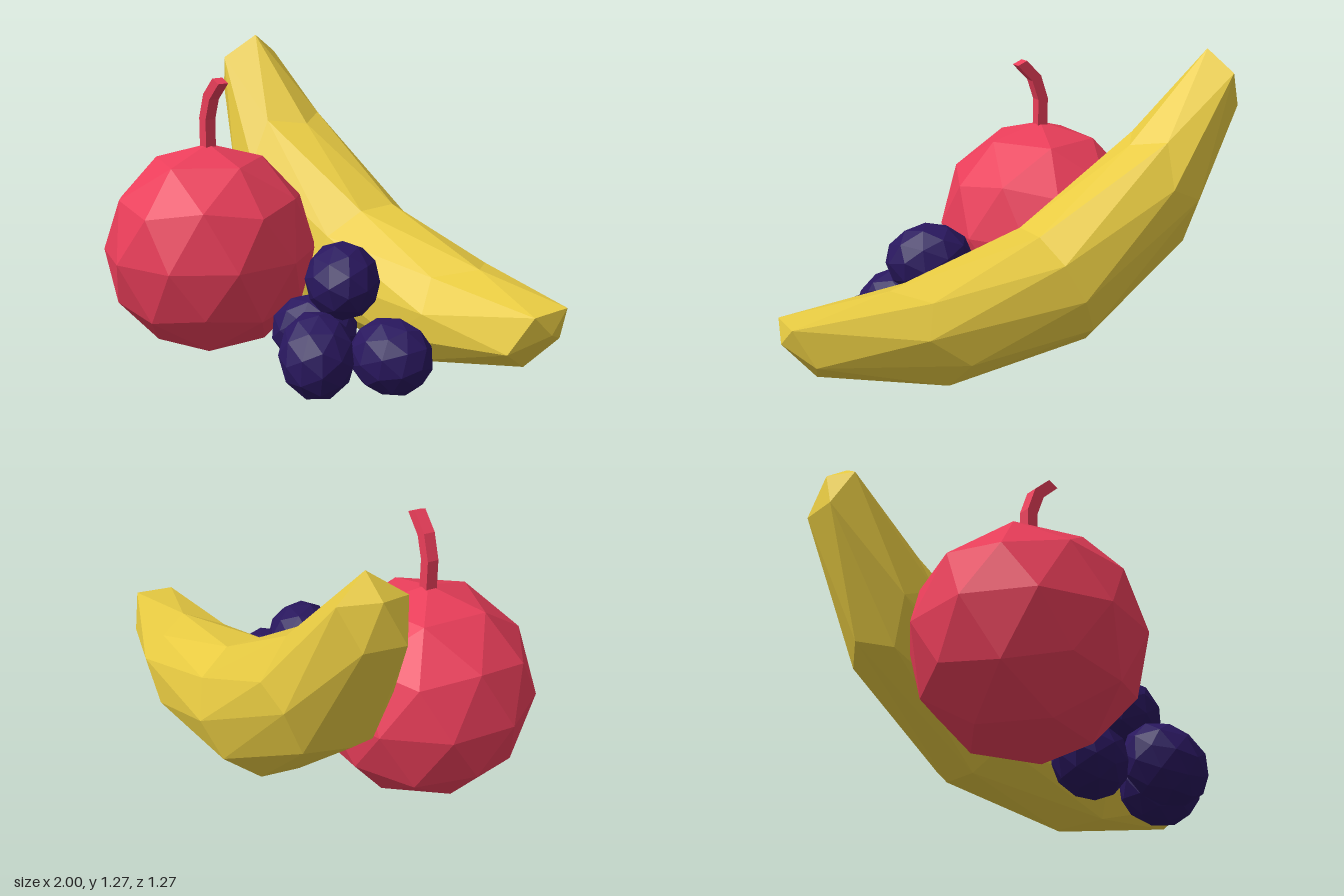
import * as THREE from 'three';

const paint = (color) => new THREE.MeshStandardMaterial({ color, flatShading: true });
const V = (p) => new THREE.Vector3(...p);

// Faceted ball with one corner at each pole
function facetedBall(radius) {
  return new THREE.IcosahedronGeometry(radius, 1)
    .rotateZ(Math.atan2(1, (1 + Math.sqrt(5)) / 2))
    .rotateY(Math.PI / 2);
}

// Square stem: each row of a box is moved onto a bent path [sideways, height, tilt]
function stemGeometry(width, path) {
  const rows = path.length - 1;
  const geo = new THREE.BoxGeometry(width, rows, width, 1, rows, 1);
  const pos = geo.attributes.position;
  for (let i = 0; i < pos.count; i++) {
    const [s, h, tilt] = path[Math.round(pos.getY(i) + rows / 2)];
    const x = pos.getX(i);
    pos.setXY(i, s + x * Math.cos(tilt), h - x * Math.sin(tilt));
  }
  geo.computeVertexNormals();
  return geo;
}

// Stretched ball: the pole axis follows a bent line of [ball height, centre],
// while the cross-section keeps the same up and side vectors
function bananaGeometry(line, up, side) {
  const geo = facetedBall(1);
  const pos = geo.attributes.position;
  const point = new THREE.Vector3();
  for (let i = 0; i < pos.count; i++) {
    const y = pos.getY(i);
    let k = 1;
    while (k < line.length - 1 && y > line[k][0]) k++;
    const [y0, from] = line[k - 1];
    const [y1, to] = line[k];
    point.lerpVectors(V(from), V(to), (y - y0) / (y1 - y0))
      .addScaledVector(up, -pos.getZ(i))
      .addScaledVector(side, -pos.getX(i));
    pos.setXYZ(i, point.x, point.y, point.z);
  }
  geo.computeVertexNormals();
  return geo;
}

export function createModel() {
  const model = new THREE.Group();
  model.name = 'fruit';
  const red = paint(0xea3e5a);
  const yellow = paint(0xe8cb42);
  const purple = paint(0x29175e);

  const add = (parent, name, geometry, material, position = [0, 0, 0]) => {
    const mesh = new THREE.Mesh(geometry, material);
    mesh.name = name;
    mesh.position.set(...position);
    parent.add(mesh);
    return mesh;
  };

  // Round red fruit with its bent stem
  const apple = new THREE.Group();
  apple.name = 'apple';
  apple.position.set(-0.552, 0.452, 0.206);
  model.add(apple);
  add(apple, 'appleBody', facetedBall(0.448), red);
  const stem = add(apple, 'appleStem', stemGeometry(0.048, [
    [0, 0.4, 0], [0, 0.555, 0.1], [0.033, 0.65, 0.45], [0.105, 0.722, 0.4],
  ]), red);
  stem.rotation.y = -0.31;

  // Banana leaning behind the other fruit
  add(model, 'banana', bananaGeometry([
    [-1, [-0.92, 1.2, -0.5]],
    [-0.851, [-0.888, 1.145, -0.495]],
    [-0.486, [-0.61, 0.71, -0.41]],
    [0, [-0.12, 0.367, -0.268]],
    [0.486, [0.43, 0.248, -0.11]],
    [0.851, [0.92, 0.293, 0.075]],
    [1, [0.985, 0.32, 0.1]],
  ], V([0.125, 0.255, 0.025]), V([-0.092, -0.012, 0.258])), yellow);

  // Bunch of four long grapes, each with its own axis
  const grapes = new THREE.Group();
  grapes.name = 'grapes';
  model.add(grapes);
  const layout = [
    { name: 'topGrape', at: [0.127, 0.42, 0.212], axis: [0.65, -0.12, 0.75] },
    { name: 'innerGrape', at: [-0.033, 0.173, 0.18], axis: [1, 0, -0.2] },
    { name: 'frontGrape', at: [0.143, 0.17, 0.415], axis: [0.5, -0.6, 0.6] },
    { name: 'outerGrape', at: [0.39, 0.17, 0.268], axis: [1, 0, 0.35] },
  ];
  const grapeGeometry = facetedBall(1).scale(0.152, 0.186, 0.152);
  for (const { name, at, axis } of layout) {
    const grape = add(grapes, name, grapeGeometry, purple, at);
    grape.quaternion.setFromUnitVectors(new THREE.Vector3(0, 1, 0), V(axis).normalize());
  }

  return model;
}
